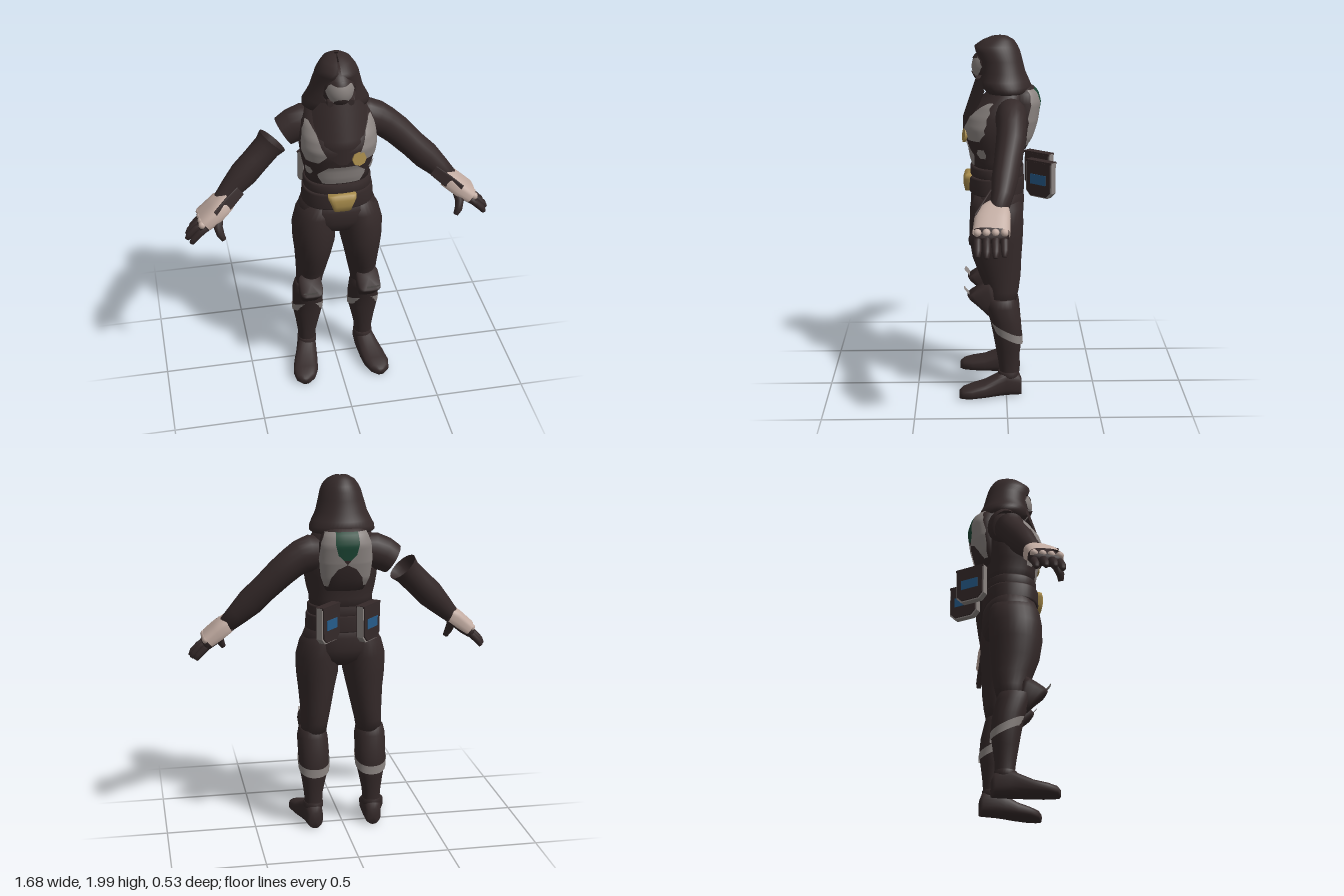
import * as THREE from 'three';

const mat = (name, color) => new THREE.MeshStandardMaterial({ name, color, side: THREE.DoubleSide });
const dark = mat('dark cloth', 0x342929);
const grey = mat('grey armour', 0x8a8380);
const pale = mat('pale glove', 0xc2aca2);
const gold = mat('gold', 0xa88c4c);
const green = mat('green', 0x1c4534);
const blue = mat('blue', 0x265c8a);

const V = (x, y, z) => new THREE.Vector3(x, y, z);
const spow = (v, p) => Math.sign(v) * Math.abs(v) ** p;

// Skin over rows of points; closed rows wrap round, caps fill the ends
function skin(rows, closed = true, caps = false) {
  const n = rows[0].length, pos = [], idx = [];
  rows.forEach(r => r.forEach(p => pos.push(p.x, p.y, p.z)));
  for (let i = 0; i < rows.length - 1; i++)
    for (let j = 0; j < (closed ? n : n - 1); j++) {
      const k = (j + 1) % n, a = i * n + j, b = i * n + k;
      idx.push(a, b, b + n, a, b + n, a + n);
    }
  if (caps) [0, rows.length - 1].forEach((i, end) => {
    const c = rows[i].reduce((s, p) => s.add(p), V(0, 0, 0)).divideScalar(n);
    const m = pos.push(c.x, c.y, c.z) / 3 - 1;
    for (let j = 0; j < n; j++) {
      const a = i * n + j, b = i * n + (j + 1) % n;
      end ? idx.push(a, b, m) : idx.push(b, a, m);
    }
  });
  const g = new THREE.BufferGeometry();
  g.setAttribute('position', new THREE.Float32BufferAttribute(pos, 3));
  g.setIndex(idx);
  g.computeVertexNormals();
  return g;
}

// Oval ring round c, across direction t; w is the direction of angle 0
function ring(c, t, w, ru, rw, p = 1, a0 = 0, a1 = Math.PI * 2, n = 28) {
  const T = t.clone().normalize();
  const W = w.clone().addScaledVector(T, -w.dot(T)).normalize();
  const U = T.clone().cross(W), full = a1 - a0 > 6.28, out = [];
  for (let j = 0; j < n; j++) {
    const a = a0 + (a1 - a0) * j / (full ? n : n - 1);
    out.push(c.clone().addScaledVector(U, ru * spow(Math.sin(a), p)).addScaledVector(W, rw * spow(Math.cos(a), p)));
  }
  return out;
}

// Limb along points [x, y, z, ru, rw], on side s
function limb(pts, s = 1, { w = V(0, 0, 1), p = 1, caps = true, arc = [0, Math.PI * 2], n = 20 } = {}) {
  const cs = pts.map(q => V(q[0] * s, q[1], q[2]));
  const rows = pts.map((q, i) => ring(cs[i], cs[Math.min(i + 1, cs.length - 1)].clone().sub(cs[Math.max(i - 1, 0)]),
    w, q[3], q[4], p, arc[0], arc[1], n));
  return skin(rows, arc[1] - arc[0] > 6.28, caps);
}

// Body from level rings [y, rx, zBack, zFront]
const UP = V(0, 1, 0), FRONT = V(0, 0, 1), P = 0.85;
const body = rings => skin(rings.map(([y, rx, b, f]) => ring(V(0, y, (b + f) / 2), UP, FRONT, rx, (f - b) / 2, P, 0, Math.PI * 2, 40)), true, true);

// Depth of such a body at x, y on the front (dir 1) or back (dir -1)
const surface = (rings, dir, off = 0.006) => (x, y) => {
  let i = 0;
  while (i < rings.length - 2 && y > rings[i + 1][0]) i++;
  const A = rings[i], B = rings[i + 1], k = THREE.MathUtils.clamp((y - A[0]) / (B[0] - A[0]), 0, 1);
  const [rx, b, f] = [1, 2, 3].map(m => A[m] + (B[m] - A[m]) * k);
  const q = Math.min(Math.abs(x) / (rx + off), 1);
  return (b + f) / 2 + dir * ((f - b) / 2 + off) * (1 - q ** (2 / P)) ** (P / 2);
};

// Thin painted panel from rows [y, x0, x1] laid on a surface
function panel(rows, zf, s = 1) {
  const out = [], n = 13, sub = 4;
  for (let i = 0; i < rows.length - 1; i++)
    for (let k = i ? 1 : 0; k <= sub; k++) {
      const [y, a, b] = rows[i].map((v, m) => v + (rows[i + 1][m] - v) * k / sub);
      out.push(Array.from({ length: n }, (_, j) => {
        const x = s * (a + (b - a) * j / (n - 1));
        return V(x, y, zf(x, y));
      }));
    }
  return skin(out, false);
}

export function createModel() {
  const root = new THREE.Group();
  root.name = 'hoodedFigure';
  const add = (name, geo, m, parent = root) => {
    const mesh = new THREE.Mesh(geo, m);
    mesh.name = name;
    parent.add(mesh);
    return mesh;
  };

  // Torso, pelvis and belt
  const torso = [[1.26, .172, -.09, .165], [1.34, .175, -.095, .19], [1.4, .19, -.1, .2], [1.46, .2, -.115, .222],
    [1.52, .205, -.12, .232], [1.58, .2, -.12, .212], [1.64, .19, -.11, .16], [1.7, .155, -.1, .09], [1.76, .09, -.08, .06], [1.82, .06, -.05, .06]];
  add('torso', body(torso), dark);
  add('pelvis', body([[.95, .05, -.03, .09], [.99, .14, -.085, .165], [1.05, .215, -.1, .192], [1.12, .21, -.1, .192], [1.2, .18, -.09, .17]]), dark);
  add('belt', body([[1.15, .19, -.095, .195], [1.16, .196, -.1, .203], [1.235, .19, -.1, .203], [1.245, .184, -.095, .195]]), dark);
  add('waistband', body([[1.24, .178, -.092, .185], [1.25, .184, -.098, .193], [1.29, .183, -.098, .193], [1.3, .175, -.09, .18]]), dark);
  add('buckle', limb([[0, 1.155, .2, .048, .024], [0, 1.19, .2, .06, .032], [0, 1.225, .2, .075, .032], [0, 1.25, .2, .076, .024]], 1, { p: .5 }), gold);

  // Chest and belly plates
  const front = surface(torso, 1);
  for (const s of [1, -1]) {
    add('chestPlate', panel([[1.66, .16, .175], [1.61, .13, .195], [1.55, .112, .203], [1.5, .085, .203], [1.455, .125, .185]], front, s), grey);
    add('ribPlate', panel([[1.41, .165, .185], [1.385, .15, .183], [1.36, .16, .176]], front, s), grey);
  }
  add('bellyPlate', panel([[1.425, -.075, .075], [1.415, -.085, .085], [1.375, -.128, .128], [1.355, -.125, .125], [1.31, -.1, .1]], front), grey);
  const emblem = add('chestDisc', new THREE.CylinderGeometry(.04, .04, .014, 8), gold);
  emblem.position.set(.085, 1.475, .222);
  emblem.rotation.set(Math.PI / 2 - .12, 0, -.2);

  // Back shell with grey and green panels
  const shell = [[1.39, .11, -.11, 0], [1.46, .135, -.148, 0], [1.55, .145, -.17, 0], [1.65, .14, -.185, 0], [1.7, .125, -.17, 0], [1.74, .1, -.13, 0]];
  add('backShell', body(shell), dark);
  const back = surface(shell, -1);
  for (const s of [1, -1])
    add('backPlate', panel([[1.72, .06, .112], [1.66, .065, .136], [1.6, .05, .143], [1.57, .02, .146], [1.545, 0, .143], [1.52, .05, .141], [1.47, .085, .134], [1.42, .095, .115]], back, s), grey);
  add('backInset', panel([[1.72, -.06, .06], [1.66, -.065, .065], [1.6, -.05, .05], [1.57, -.02, .02]], back), green);

  // Hood, open round the face: [y, rx, zBack, zFront, opening angle]
  add('hood', skin([[2, .01, .02, .04, 0], [1.995, .04, -.01, .075, 0], [1.975, .075, -.045, .125, 0], [1.945, .098, -.065, .168, 0], [1.915, .112, -.078, .165, .3],
    [1.87, .124, -.09, .155, .68], [1.81, .14, -.105, .15, .66], [1.765, .162, -.125, .16, .45], [1.735, .177, -.138, .15, .5], [1.71, .178, -.13, .13, .7], [1.7, .165, -.12, .12, .75]]
    .reverse().map(([y, rx, b, f, gap]) => ring(V(0, y, (b + f) / 2), UP, FRONT, rx, (f - b) / 2, 1, gap, Math.PI * 2 - gap - .001, 41)), false), dark);
  add('scarf', panel([[1.775, -.1, .1], [1.72, -.145, .145], [1.65, -.14, .14], [1.56, -.11, .11], [1.48, -.06, .06], [1.45, -.02, .02]],
    (x, y) => .165 + Math.min(1.76 - y, .2) * .34 - 3 * x * x), dark);

  // Head and mask
  const head = add('head', new THREE.SphereGeometry(1, 28, 20), dark);
  head.scale.set(.09, .11, .12);
  head.position.set(0, 1.835, .055);
  const face = off => (x, y) => .055 + (.12 + off) * Math.sqrt(Math.max(0, 1 - (x / .092) ** 2 - ((y - 1.835) / .115) ** 2));
  add('mask', panel([[1.892, -.04, .04], [1.875, -.062, .062], [1.84, -.076, .076], [1.81, -.066, .066], [1.775, -.04, .04]], face(.008)), grey);
  add('mouthGuard', panel([[1.808, -.015, .015], [1.795, -.035, .035], [1.77, -.042, .042]], face(.013)), dark);
  add('brow', panel([[1.9, -.035, .035], [1.885, -.05, .05], [1.878, -.02, .02]], face(.013)), dark);

  for (const s of [1, -1]) {
    const side = new THREE.Group();
    side.name = s > 0 ? 'leftLimbs' : 'rightLimbs';
    root.add(side);
    const part = (name, geo, m) => add(name, geo, m, side);

    // Filter on the mask's cheek
    const filter = part('maskFilter', new THREE.CylinderGeometry(.016, .02, .03, 12), dark);
    filter.position.set(s * .055, 1.775, .145);
    filter.rotation.x = Math.PI / 2;

    // Arm; the right sleeve has a gap above the elbow
    const upper = [[.08, 1.6, -.02, .08, .075], [.17, 1.59, -.025, .1, .085], [.225, 1.57, -.025, .094, .082], [.275, 1.54, -.025, .085, .078]];
    const lower = [[.34, 1.485, -.02, .081, .078], [.43, 1.395, 0, .075, .07], [.5, 1.325, .015, .077, .068], [.57, 1.255, .03, .062, .056], [.63, 1.195, .05, .048, .05]];
    if (s > 0) part('arm', limb([...upper, ...lower], s), dark);
    else {
      part('sleeve', limb(upper, s, { caps: false }), dark);
      part('forearm', limb([[.335, 1.492, -.02, .088, .084], [.365, 1.46, -.015, .076, .074], ...lower.slice(1)], s, { caps: false }), dark);
    }
    part('wristFlap', limb([[.53, 1.265, .085, .03, .005], [.6, 1.215, .125, .035, .005], [.67, 1.175, .165, .025, .005]], s, { p: .4 }), dark);

    // Hand, glove back, fingers and thumb
    part('palm', limb([[.61, 1.205, .05, .042, .05], [.66, 1.16, .075, .04, .08], [.71, 1.115, .085, .038, .088], [.75, 1.08, .085, .03, .085]], s, { p: .7 }), dark);
    part('gloveBack', limb([[.6, 1.2, .052, .05, .064], [.63, 1.185, .065, .055, .082], [.67, 1.155, .08, .054, .092], [.73, 1.11, .085, .047, .095]], s,
      { p: .7, caps: false, arc: s > 0 ? [-Math.PI - .5, .5] : [-.5, Math.PI + .5] }), pale);
    for (let i = 0; i < 4; i++) {
      const z = .02 + i * .045, r = .02, k = [-.02, 0, .005, -.015][i];
      part('finger', limb([[.725, 1.1, z, r, r], [.775 + k, 1.07, z, r, r], [.81 + k, 1.035, z, .019, .019], [.825 + k, 1.01, z, .013, .013]], s, { n: 10 }), dark);
      const knuckle = part('knuckle', new THREE.SphereGeometry(.021, 10, 8), pale);
      knuckle.position.set(s * .748, 1.118, z);
    }
    part('thumb', limb([[.655, 1.15, .12, .026, .026], [.665, 1.1, .16, .025, .025], [.655, 1.06, .18, .021, .021], [.64, 1.03, .185, .014, .014]], s, { n: 12 }), dark);

    // Leg in level rings [y, x, z, rx, rz]
    const leg = (rings, p) => skin(rings.map(([y, x, z, rx, rz]) => ring(V(s * x, y, z), UP, FRONT, rx, rz, p)), true, true);
    part('thigh', leg([[.54, .16, .025, .07, .075], [.62, .152, .022, .076, .09], [.7, .145, .033, .086, .112], [.8, .138, .05, .1, .133],
      [.9, .132, .055, .117, .145], [1, .13, .053, .121, .147], [1.08, .12, .05, .11, .14], [1.15, .1, .05, .09, .12]]), dark);
    part('boot', leg([[.06, .17, -.02, .045, .045], [.13, .167, -.015, .048, .05], [.2, .168, -.012, .053, .056], [.28, .165, -.01, .067, .068],
      [.36, .163, -.008, .084, .08], [.45, .163, .005, .087, .085], [.53, .165, .028, .086, .09], [.575, .165, .035, .076, .085], [.58, .165, .035, .06, .07]], .9), dark);
    part('bootCuff', leg([[.11, .168, -.012, .05, .053], [.12, .168, -.012, .056, .06], [.145, .168, -.012, .055, .059], [.15, .168, -.012, .047, .052]]), dark);

    // Slanted band round the calf
    const tilt = V(0, 1, -.5);
    part('calfBand', skin([[.355, -.008, .087, .094], [.405, .0, .091, .1]].map(([y, z, rx, rz]) => ring(V(s * .163, y, z), tilt, FRONT, rx, rz, .9))), grey);

    // Pointed knee guard with a grey face
    part('kneeGuard', limb([[.165, .49, .085, .045, .02], [.165, .55, .105, .062, .05], [.165, .61, .135, .066, .075], [.165, .635, .15, .06, .075]], s, { p: .5 }), dark);
    part('kneeFace', panel([[.638, .14, .215], [.6, .142, .22], [.56, .148, .216], [.525, .155, .205]], (x, y) => .128 + (y - .51) * .82 - 3 * (Math.abs(x) - .165) ** 2, s), grey);

    // Foot in upright rings [z, x, height, half width]
    part('foot', skin([[-.085, .168, .09, .03], [-.072, .168, .125, .046], [0, .173, .15, .056], [.05, .182, .125, .061], [.12, .197, .09, .07],
      [.19, .21, .072, .071], [.24, .217, .058, .055], [.262, .22, .042, .025]]
      .map(([z, x, h, w]) => ring(V(s * x, h / 2 + .006, z), FRONT, UP, w, h / 2, .75)), true, true), dark);

    // Slab pouch behind the hip, blue on both faces
    const pouch = new THREE.Group();
    pouch.name = 'pouch';
    pouch.position.set(s * .11, 1.235, -.188);
    pouch.rotation.y = .85;
    root.add(pouch);
    const slab = (w, h, c, d) => {
      const sh = new THREE.Shape([[-w, h], [w, h], [w, c - h], [w - c, -h], [c - w, -h], [-w, c - h]].map(q => new THREE.Vector2(...q)));
      return new THREE.ExtrudeGeometry(sh, { depth: d, bevelEnabled: false }).translate(0, 0, -d / 2);
    };
    add('pouchCore', slab(.088, .1, .03, .036), grey, pouch);
    add('pouchCover', slab(.08, .093, .028, .052), dark, pouch);
    add('pouchLid', new THREE.BoxGeometry(.174, .012, .05).translate(0, .097, 0), dark, pouch);
    add('pouchWindow', new THREE.BoxGeometry(.105, .055, .058), blue, pouch);
  }
  return root;
}
